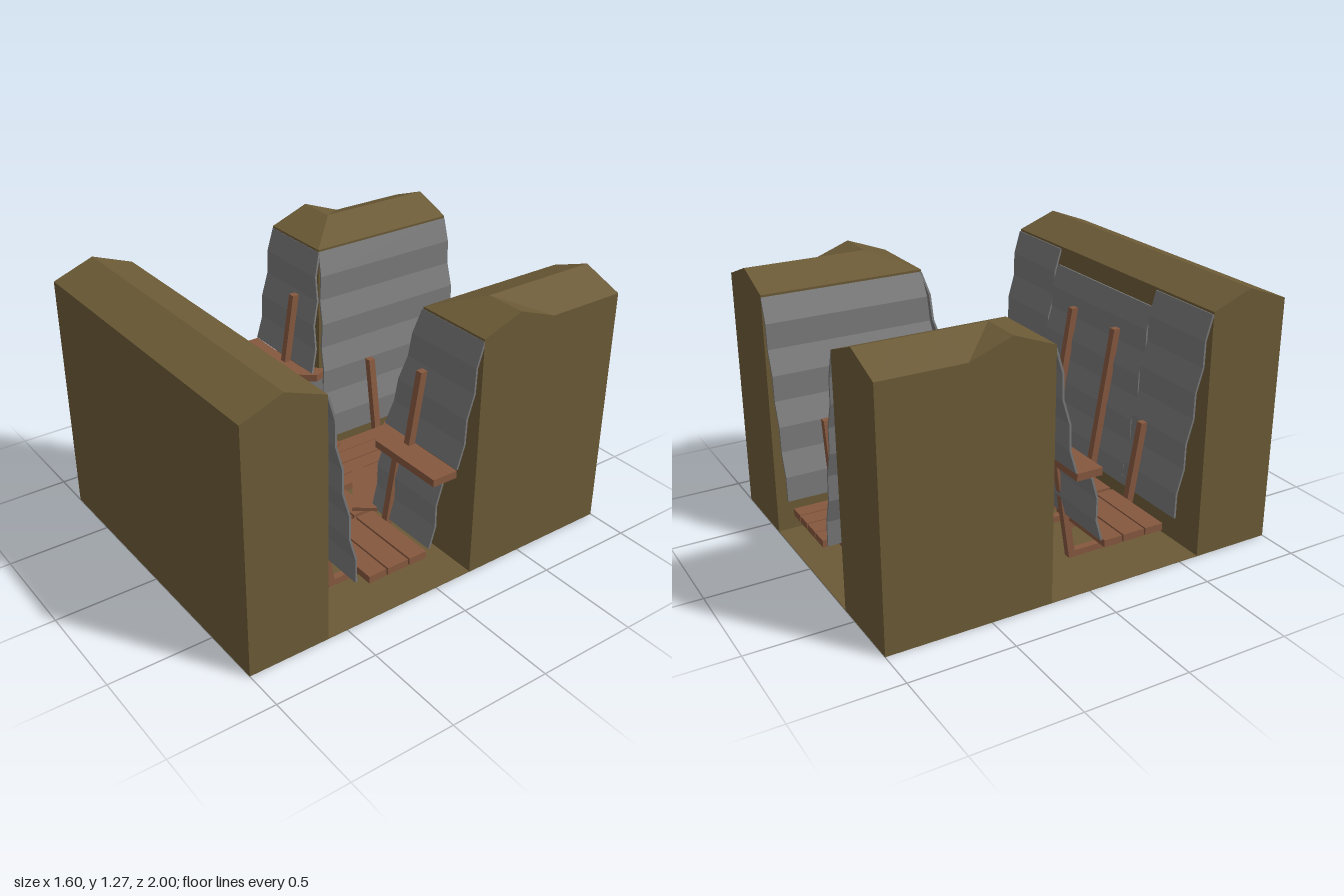
import * as THREE from 'three';

const material = (color) => new THREE.MeshStandardMaterial({ color, flatShading: true, side: THREE.DoubleSide });
const V = (x, y, z) => new THREE.Vector3(x, y, z);

export function createModel() {
  const model = new THREE.Group();
  model.name = 'trenchJunction';
  const earth = material(0x6b5a36), wood = material(0x86583f), metal = material(0x787878);

  const add = (parent, name, geometry, mat) => {
    const mesh = new THREE.Mesh(geometry, mat);
    mesh.name = name;
    parent.add(mesh);
    return mesh;
  };
  // Box given by its lower and upper limits
  const box = (parent, name, x0, x1, y0, y1, z0, z1, mat = wood) =>
    add(parent, name, new THREE.BoxGeometry(x1 - x0, y1 - y0, z1 - z0)
      .translate((x0 + x1) / 2, (y0 + y1) / 2, (z0 + z1) / 2), mat);
  // Flat shape in x and z, extruded upwards from y0
  const slab = (parent, name, points, y0, height, mat) => {
    const shape = new THREE.Shape(points.map(([x, z]) => new THREE.Vector2(x, -z)));
    const g = new THREE.ExtrudeGeometry(shape, { depth: height, bevelEnabled: false });
    return add(parent, name, g.rotateX(-Math.PI / 2).translate(0, y0, 0), mat);
  };
  // Corrugated sheet between a top edge (a, b) and a bottom edge (c, d)
  const sheet = (parent, name, a, b, c, d, folds) => {
    const g = new THREE.BoxGeometry(1, 1, 1, 1, folds, 1);
    const p = g.attributes.position;
    const out = b.clone().sub(a).cross(c.clone().sub(a)).normalize();
    for (let i = 0; i < p.count; i++) {
      const u = p.getX(i) + 0.5, t = 0.5 - p.getY(i);
      const wave = Math.round(t * folds) % 2 ? 0.008 : -0.008;
      const v = a.clone().lerp(b, u).lerp(c.clone().lerp(d, u), t);
      v.addScaledVector(out, wave + p.getZ(i) * 0.01);
      p.setXYZ(i, v.x, v.y, v.z);
    }
    g.computeVertexNormals();
    add(parent, name, g, metal);
  };
  // Upright leaning along z, with level ends
  const LEAN = 0.163, W = 0.035;
  const leg = (parent, name, x, z, y0, y1, lean) => {
    const g = new THREE.BoxGeometry(W, y1 - y0, W).translate(x, (y0 + y1) / 2, z);
    const p = g.attributes.position;
    for (let i = 0; i < p.count; i++) p.setZ(i, p.getZ(i) + lean * (p.getY(i) - y0));
    add(parent, name, g, wood);
  };
  // Support frame with two legs, a sill and a crossbar
  const frame = (half, frontHeight, backHeight) => {
    const f = new THREE.Group();
    f.name = 'supportFrame';
    leg(f, 'frontPost', 0, half - W / 2, 0, frontHeight, LEAN);
    leg(f, 'backPost', 0, -half + W / 2, 0, backHeight, -LEAN);
    box(f, 'sill', -W / 2, W / 2, 0, 0.035, -half + 0.005, half - 0.005);
    box(f, 'crossbar', -W / 2, W / 2, 0.16, 0.2, -half - 0.025, half + 0.025);
    model.add(f);
    return f;
  };

  // Trench floor, T-shaped
  slab(model, 'trenchFloor', [[-0.8, 0.6], [0.8, 0.6], [0.8, -0.2], [0.4, -0.2], [0.4, -1],
    [-0.4, -1], [-0.4, -0.2], [-0.8, -0.2]], 0, 0.003, earth);

  // Front bank with a ridged top
  const bank = new THREE.Shape([[-1, 0], [-0.6, 0], [-0.6, 1.2], [-0.8, 1.275], [-1, 1.2]]
    .map(([x, y]) => new THREE.Vector2(x, y)));
  add(model, 'frontBank', new THREE.ExtrudeGeometry(bank, { depth: 1.6, bevelEnabled: false })
    .rotateY(Math.PI / 2).translate(-0.8, 0, 0), earth);

  // Front revetment: two outer sheets and a lower middle one
  for (const [x0, x1, top] of [[-0.8, -0.4, 1.19], [-0.4, 0.4, 1.11], [0.4, 0.8, 1.19]]) {
    const zTop = 0.59 - (1.19 - top) * 0.15;
    sheet(model, 'frontSheet', V(x0, top, zTop), V(x1, top, zTop), V(x0, 0.24, 0.447), V(x1, 0.24, 0.447), 8);
  }

  // Main walkway
  for (const [z0, z1] of [[0.07, 0.163], [0.172, 0.283], [0.291, 0.385]]) {
    box(model, 'mainPlank', -0.39, 0.39, 0.2, 0.235, z0, z1);
    for (const s of [-1, 1]) box(model, 'mainPlank', s * 0.605 - 0.195, s * 0.605 + 0.195, 0.2, 0.235, z0, z1);
  }
  // Branch walkway
  for (const [x0, x1] of [[-0.18, -0.095], [-0.09, -0.005], [0.003, 0.083], [0.09, 0.165]])
    box(model, 'branchPlank', x0, x1, 0.2, 0.235, -1, 0.06);

  // Frames under both walkways
  for (const s of [-1, 1]) {
    frame(0.16, 0.95, 0.2).position.set(s * 0.18, 0, 0.235);
    frame(0.16, 0.6, 0.565).position.set(s * 0.5, 0, 0.235);
  }
  for (const z of [-0.42, -0.78]) {
    const f = frame(0.18, 0.6, 0.6);
    f.position.z = z;
    f.rotation.y = Math.PI / 2;
  }

  // Everything on one side of the branch, mirrored for the other
  for (const s of [1, -1]) {
    const side = new THREE.Group();
    side.name = s > 0 ? 'leftSide' : 'rightSide';
    side.scale.x = s;
    model.add(side);

    // Back bank: ridge turning the corner, sloping off on both sides
    const g = new THREE.BoxGeometry(0.4, 1.2, 0.8, 2, 1, 4).translate(0.6, 0.6, -0.6);
    const p = g.attributes.position;
    for (let i = 0; i < p.count; i++) {
      if (p.getY(i) < 0.6) continue;
      const u = (p.getX(i) - 0.4) / 0.2, v = (-0.2 - p.getZ(i)) / 0.2;
      const m = Math.min(u, v);
      p.setY(i, 1.2 + 0.075 * (m <= 1 ? m : 2 - m));
    }
    g.computeVertexNormals();
    add(side, 'backBank', g, earth);

    // Revetment sheets
    sheet(side, 'branchSheet', V(0.395, 1.19, -0.2), V(0.395, 1.19, -1),
      V(0.23, 0.24, -0.115), V(0.23, 0.24, -1), 8);
    sheet(side, 'upperStepSheet', V(0.8, 1.19, -0.195), V(0.395, 1.19, -0.195),
      V(0.8, 0.6, -0.095), V(0.295, 0.6, -0.095), 5);
    sheet(side, 'lowerStepSheet', V(0.8, 0.56, 0), V(0.39, 0.56, 0),
      V(0.8, 0.24, 0.045), V(0.39, 0.24, 0.045), 3);
    sheet(side, 'cornerSheet', V(0.39, 0.56, 0), V(0.285, 0.56, -0.14),
      V(0.39, 0.24, 0.045), V(0.23, 0.24, -0.115), 3);

    // Raised step with its turned corner, and the post behind it
    slab(side, 'step', [[0.8, 0.045], [0.8, -0.085], [0.39, -0.085], [0.305, -0.185],
      [0.275, -0.1], [0.39, 0.045]], 0.562, 0.036, wood);
    leg(side, 'stepPost', 0.5, -0.063, 0.598, 0.95, -LEAN);

    // Loose board across the corner of the walkways
    slab(side, 'cornerBoard', [[0.43, 0.06], [0.36, 0.15], [0.08, -0.06], [0.15, -0.155]]
      .sort((a, b) => Math.atan2(a[1], a[0] - 0.255) - Math.atan2(b[1], b[0] - 0.255)), 0.237, 0.018, wood);
  }
  return model;
}
